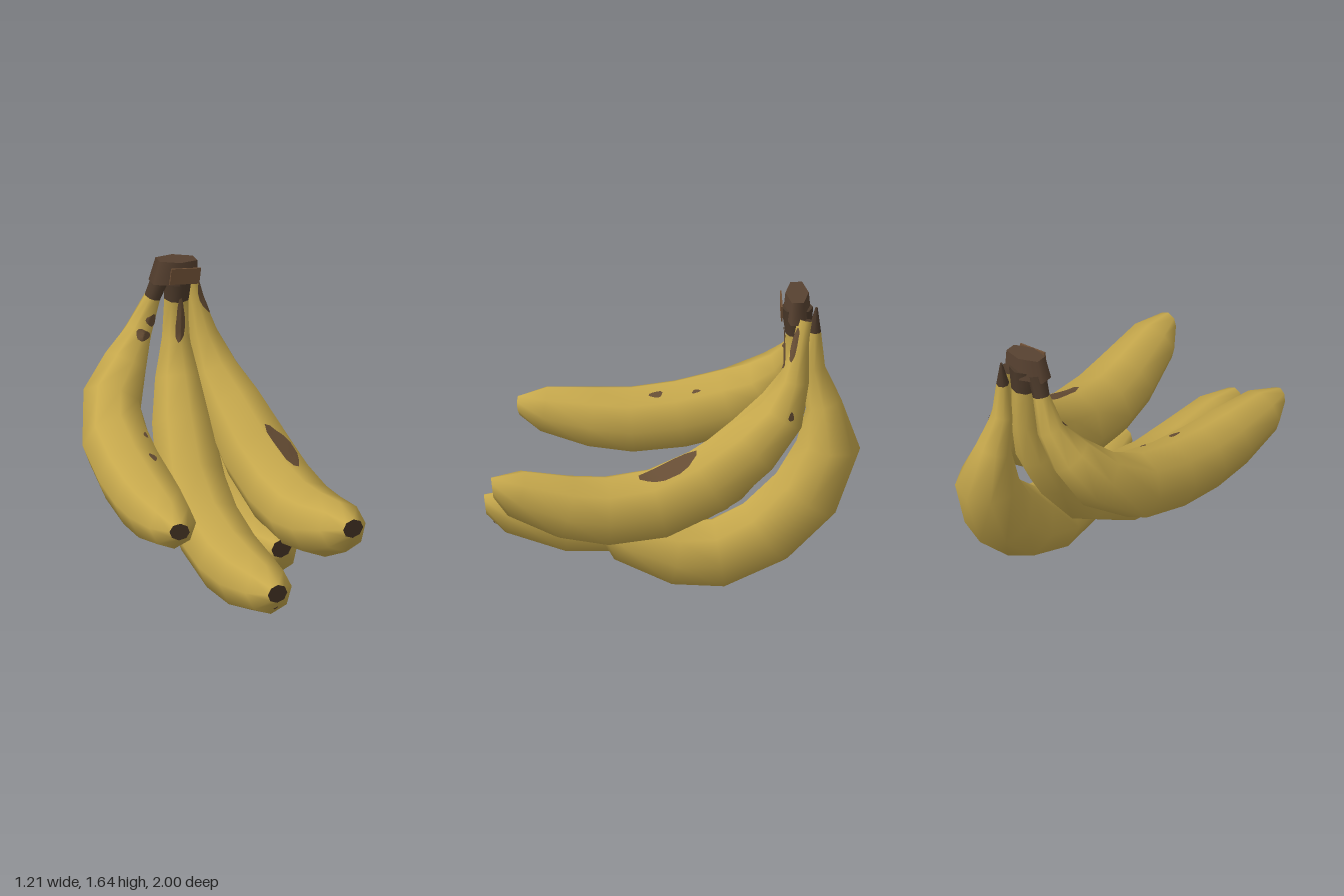
import * as THREE from 'three';

const SIDES = 8;

// Shared banana profile: fractions of the length and the radius there (the stem is set per banana).
const FRACTIONS = [0, 0.06, 0.18, 0.28, 0.4, 0.53, 0.66, 0.76, 0.85, 0.94, 1];
const BODY_RADII = [0.055, 0.13, 0.172, 0.187, 0.192, 0.19, 0.165];
const NECK_RADII = [0.125, 0.075];

const v = (x, y, z) => new THREE.Vector3(x, y, z);

// Centre line and section frames: side runs across, under points to the outer curve.
function makeFrames(points, size, neck, stemRadii, tipFacing) {
  const curve = new THREE.CatmullRomCurve3(points);
  const radii = [
    ...BODY_RADII.map((r) => r * size), ...NECK_RADII.map((r) => r * size * neck), ...stemRadii,
  ];
  return FRACTIONS.map((u, i) => {
    const tangent = i === 0 ? tipFacing.clone().normalize().negate() : curve.getTangentAt(u);
    const under = tangent.clone().cross(v(1, 0, 0)).normalize();
    const side = under.clone().cross(tangent);
    return { center: curve.getPointAt(u), side, under, radius: radii[i] };
  });
}

function ringPoint(f, angle) {
  return f.center.clone()
    .addScaledVector(f.side, Math.cos(angle) * f.radius)
    .addScaledVector(f.under, Math.sin(angle) * f.radius);
}

function fromArrays(positions, index) {
  const g = new THREE.BufferGeometry();
  g.setAttribute('position', new THREE.Float32BufferAttribute(positions, 3));
  g.setIndex(index);
  g.computeVertexNormals();
  return g;
}

// Lofted skin with groups: 0 peel, 1 stem and its end, 2 blossom tip.
function bananaGeometry(frames, stemFrom) {
  const positions = [], index = [];
  const addRing = (f) => {
    const start = positions.length / 3;
    for (let j = 0; j < SIDES; j++) positions.push(...ringPoint(f, (j / SIDES) * Math.PI * 2).toArray());
    return start;
  };
  frames.forEach(addRing);
  for (let i = 0; i < frames.length - 1; i++) {
    for (let j = 0; j < SIDES; j++) {
      const a = i * SIDES + j, b = i * SIDES + (j + 1) % SIDES;
      index.push(a, b, b + SIDES, a, b + SIDES, a + SIDES);
    }
  }
  const peelCount = stemFrom * SIDES * 6;
  const end = addRing(frames[frames.length - 1]);
  for (let j = 1; j < SIDES - 1; j++) index.push(end, end + j, end + j + 1);
  const stemCount = index.length - peelCount;
  const tip = addRing(frames[0]);
  for (let j = 1; j < SIDES - 1; j++) index.push(tip, tip + j + 1, tip + j);
  const g = fromArrays(positions, index);
  g.addGroup(0, peelCount, 0);
  g.addGroup(peelCount, stemCount, 1);
  g.addGroup(peelCount + stemCount, (SIDES - 2) * 3, 2);
  return g;
}

// Point just above the faceted peel at a fractional station and angle.
function peelPoint(frames, station, angle) {
  const i = Math.min(Math.floor(station), frames.length - 2), u = station - i;
  const step = (Math.PI * 2) / SIDES, j = Math.floor(angle / step);
  const along = (a) => ringPoint(frames[i], a).lerp(ringPoint(frames[i + 1], a), u);
  const p = along(j * step).lerp(along((j + 1) * step), angle / step - j);
  const c = frames[i].center.clone().lerp(frames[i + 1].center, u);
  return p.addScaledVector(p.clone().sub(c).normalize(), 0.007);
}

// Irregular blotch that follows the peel.
function spotGeometry(frames, { at, deg, length, spread }) {
  const n = 14, rings = 4, angle = THREE.MathUtils.degToRad(deg), width = THREE.MathUtils.degToRad(spread);
  const positions = peelPoint(frames, at, angle).toArray(), index = [];
  for (let r = 1; r <= rings; r++) {
    for (let j = 0; j < n; j++) {
      const a = (j / n) * Math.PI * 2;
      const reach = (r / rings) * (0.92 + 0.14 * Math.sin(3 * a + deg));
      const p = peelPoint(frames, at + Math.cos(a) * length * reach, angle + Math.sin(a) * width * reach);
      positions.push(...p.toArray());
    }
  }
  for (let j = 0; j < n; j++) {
    const k = (j + 1) % n;
    index.push(0, 1 + k, 1 + j);
    for (let r = 0; r < rings - 1; r++) {
      const a = 1 + r * n + j, b = 1 + r * n + k;
      index.push(a, b, b + n, a, b + n, a + n);
    }
  }
  return fromArrays(positions, index);
}

export function createModel() {
  const material = (name, color, extra = {}) => {
    const m = new THREE.MeshStandardMaterial({ color, ...extra });
    m.name = name;
    return m;
  };
  const peel = material('yellow peel', 0xc6a84c);
  const stem = material('dark stem', 0x4a3829);
  const tip = material('dark tip', 0x493727);
  const crownBrown = material('crown brown', 0x574130);
  const cutBrown = material('light crown brown', 0x6f5036);
  const spotBrown = material('brown spot', 0x664d34, { side: THREE.DoubleSide });

  const model = new THREE.Group();
  model.name = 'bananaBunch';

  // One banana from blossom tip to stem, with its spots
  const addBanana = (name, points, {
    size = 1, neck = 1, stemRadii, stemFrom = 9, tipFacing = v(0, -0.12, 1), spots = [],
  }) => {
    const group = new THREE.Group();
    group.name = name;
    const frames = makeFrames(points, size, neck, stemRadii, tipFacing);
    const body = new THREE.Mesh(bananaGeometry(frames, stemFrom), [peel, stem, tip]);
    body.name = name + 'Body';
    group.add(body);
    for (const s of spots) {
      const spot = new THREE.Mesh(spotGeometry(frames, s), spotBrown);
      spot.name = 'peelSpot';
      group.add(spot);
    }
    model.add(group);
  };

  addBanana('rightSideBanana', [
    v(-0.47, 0.73, 0.785), v(-0.42, 0.66, 0.2), v(-0.4, 0.74, -0.25),
    v(-0.355, 0.87, -0.52), v(-0.13, 1.2, -0.7), v(0, 1.53, -0.68),
  ], {
    size: 0.99, stemRadii: [0.045, 0.05], tipFacing: v(-0.3, -0.2, 1),
    spots: [
      { at: 3.58, deg: -65, length: 0.17, spread: 7 },
      { at: 4.46, deg: -56, length: 0.1, spread: 4 },
      { at: 7.9, deg: -90, length: 0.2, spread: 33 },
      { at: 8.4, deg: -75, length: 0.2, spread: 30 },
    ],
  });

  addBanana('middleBanana', [
    v(0.01, 0.375, 0.99), v(0.02, 0.275, 0.55), v(0, 0.31, 0.15),
    v(0, 0.5, -0.23), v(0.075, 1.1, -0.66), v(0.09, 1.54, -0.67),
  ], {
    size: 1.01, stemRadii: [0.07, 0.085],
    spots: [
      { at: 8.5, deg: -92, length: 0.7, spread: 22 },
      { at: 0.42, deg: 85, length: 0.1, spread: 9 },
    ],
  });

  addBanana('leftSideBanana', [
    v(0.45, 0.675, 0.97), v(0.41, 0.51, 0.42), v(0.375, 0.56, 0),
    v(0.32, 0.77, -0.355), v(0.26, 1.01, -0.595), v(0.17, 1.5, -0.71),
  ], {
    size: 1.04, stemRadii: [0.045, 0.04], stemFrom: 10,
    spots: [
      { at: 4.45, deg: -72, length: 0.75, spread: 19 },
      { at: 9.1, deg: -50, length: 0.6, spread: 30 },
      { at: 7.2, deg: 15, length: 0.12, spread: 9 },
    ],
  });

  addBanana('backBanana', [
    v(0.27, 0.34, 0.385), v(0.28, 0.2, 0.02), v(0.265, 0.21, -0.33), v(0.235, 0.52, -0.715),
    v(0.215, 0.82, -0.835), v(0.17, 1.24, -0.755), v(0.17, 1.57, -0.77),
  ], { size: 1.04, neck: 0.75, stemRadii: [0.035, 0.006] });

  // Woody crown joining the stems
  const crown = new THREE.Mesh(
    new THREE.CylinderGeometry(0.125, 0.15, 0.13, 6).scale(1, 1, 0.5), crownBrown);
  crown.name = 'crown';
  crown.position.set(0.075, 1.555, -0.67);
  crown.rotation.z = -0.12;
  model.add(crown);

  // Paler dried patch on the front of the crown
  const crownPatch = new THREE.Mesh(new THREE.BoxGeometry(0.17, 0.09, 0.009), cutBrown);
  crownPatch.name = 'crownPatch';
  crownPatch.position.set(0.1, 1.55, -0.585);
  crownPatch.rotation.z = -0.12;
  model.add(crownPatch);

  return model;
}
